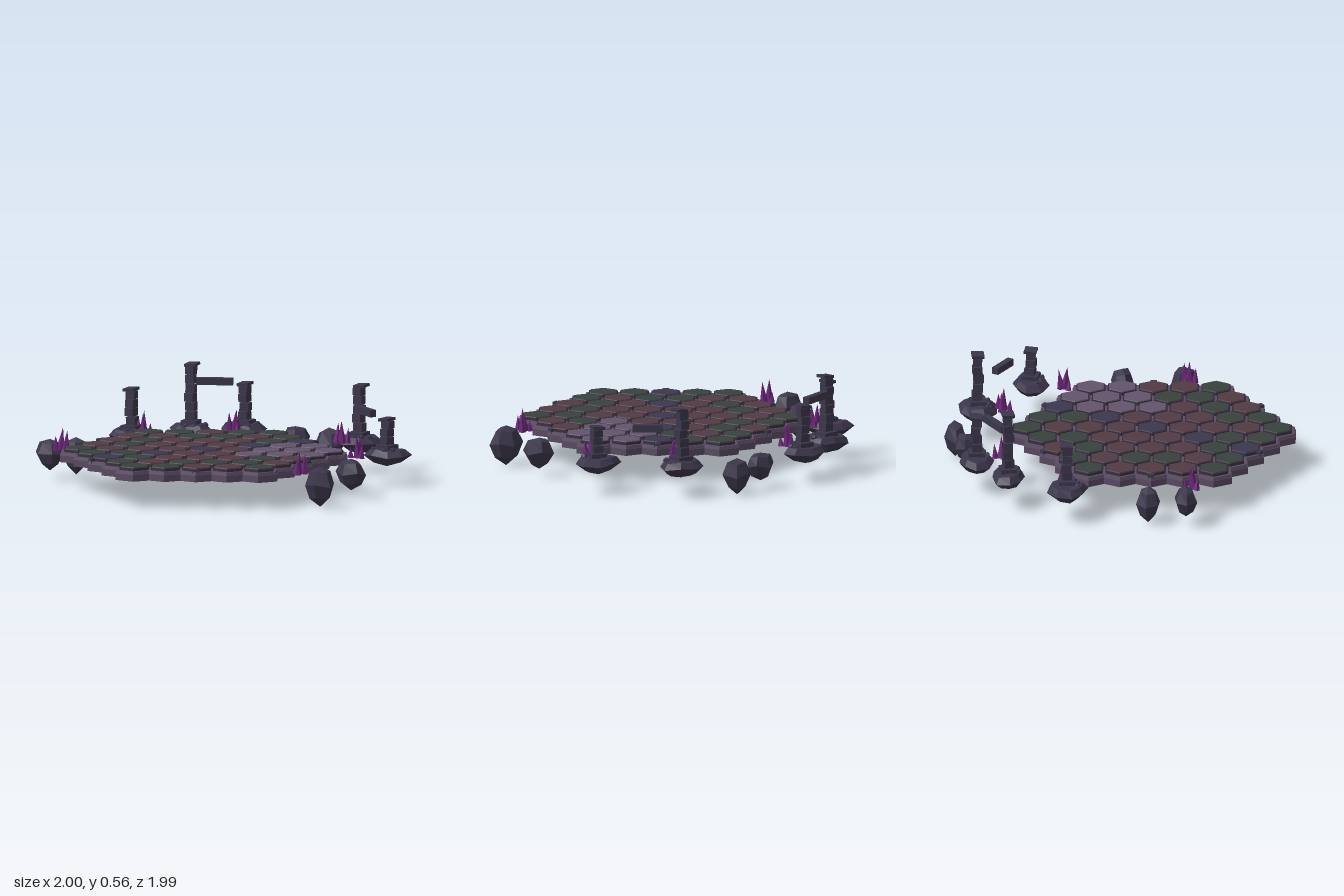
import * as THREE from 'three';

const mat = (name, color) => {
  const m = new THREE.MeshStandardMaterial({ color, flatShading: true });
  m.name = name;
  return m;
};

export function createModel() {
  const model = new THREE.Group();
  model.name = 'floatingHexArena';
  const M = {
    g: mat('mossTile', 0x39413f), r: mat('rustTile', 0x513a43),
    b: mat('slateTile', 0x3b364d), p: mat('violetTile', 0x62536c),
    rim: mat('rimStone', 0x5a4b63), dark: mat('darkJoint', 0x352c3b),
    rock: mat('rock', 0x3b364b), crystal: mat('crystal', 0x6a2476),
  };
  const add = (parent, name, geo, material, x = 0, y = 0, z = 0) => {
    const m = new THREE.Mesh(geo, material);
    m.name = name;
    m.position.set(x, y, z);
    parent.add(m);
    return m;
  };
  const group = (name, x = 0, y = 0, z = 0) => {
    const g = new THREE.Group();
    g.name = name;
    g.position.set(x, y, z);
    model.add(g);
    return g;
  };

  // Hexagonal floor: one letter per tile, columns from right (-x) to left (+x), back to front
  const R = 0.102, CZ = 0.18, pitch = R * Math.sqrt(3);
  const columns = ['grrrg', 'grggrg', 'rgrrrgb', 'ggrrrbgg', 'grrrbrrrg',
    'ggbrrrgg', 'bppprgr', 'pppggr', 'pprrg'];
  const hex = (top, bottom, h) => new THREE.CylinderGeometry(top, bottom, h, 6).rotateY(Math.PI / 6);
  const baseGeo = hex(0.12, 0.12, 0.038), lipGeo = hex(0.112, 0.117, 0.018);
  const bodyGeo = hex(0.093, 0.097, 0.034), capGeo = hex(0.084, 0.087, 0.006);
  const floor = group('floor');
  columns.forEach((col, c) => [...col].forEach((key, i) => {
    const x = (c - 4) * 1.5 * R, z = CZ + (i - (col.length - 1) / 2) * pitch;
    add(floor, 'floorBase', baseGeo, M.rim, x, 0.182, z);
    add(floor, 'floorLip', lipGeo, M.rim, x, 0.21, z);
    add(floor, 'tileBody', bodyGeo, M.dark, x, 0.217, z);
    add(floor, 'tileTop', capGeo, M[key], x, 0.236, z);
  }));

  // Six clamps around the floor edge
  for (let k = 0; k < 6; k++) {
    const a = Math.PI / 3 * k;
    add(floor, 'edgeClamp', new THREE.BoxGeometry(0.035, 0.045, 0.036), M.rock,
      Math.cos(a) * 0.7, 0.212, CZ + Math.sin(a) * 0.7).rotation.y = -a;
  }

  // Faceted rock: lathe profile of [radius, height 0..1], made irregular by angle
  const rockGeo = (profile, sides, seed, rx, rz, y0, y1) => {
    const geo = new THREE.LatheGeometry(profile.map(p => new THREE.Vector2(p[0], p[1])), sides, seed);
    const pos = geo.attributes.position;
    for (let i = 0; i < pos.count; i++) {
      const x = pos.getX(i), y = pos.getY(i), z = pos.getZ(i);
      const a = Math.atan2(x, z), r = Math.hypot(x, z);
      const k = 1 + 0.08 * Math.sin(2 * a + seed + y * 4) + 0.05 * Math.sin(5 * a + seed * 3);
      const h = y + 0.07 * r * Math.sin(3 * a + seed * 2);
      pos.setXYZ(i, x * k * rx, y0 + h * (y1 - y0), z * k * rz);
    }
    return geo;
  };

  // Small floating rocks: x, z, rx, rz, bottom, top
  const rockProfile = [[0, 0], [0.66, 0.22], [1, 0.55], [0.68, 0.88], [0, 1]];
  [
    [-0.075, -0.87, 0.088, 0.068, 0.06, 0.22], [0.11, -0.935, 0.09, 0.068, 0.01, 0.22],
    [0.88, 0, 0.09, 0.072, 0.055, 0.235], [0.905, 0.35, 0.095, 0.076, 0.01, 0.24],
    [-0.875, 0.165, 0.088, 0.068, 0.01, 0.225], [-0.91, 0.38, 0.09, 0.066, 0.06, 0.24],
  ].forEach(([x, z, rx, rz, y0, y1], i) =>
    add(model, 'floatingRock', rockGeo(rockProfile, 6, i * 1.3 + 0.4, rx, rz, y0, y1), M.rock, x, 0, z));

  // Rock islands with ruined pillars: x, z, rx, rz, pillar offset, pillar top, turn, cap offset
  const islandProfile = [[0, 0], [0.6, 0.2], [1, 0.6], [0.75, 0.92], [0, 1]];
  [
    [-0.39, -0.81, 0.14, 0.1, 0.012, 0.455, 0.1, 0], [-0.62, -0.63, 0.132, 0.1, -0.005, 0.57, 0.2, 0.008],
    [-0.82, -0.295, 0.135, 0.115, 0.015, 0.455, 0.05, -0.004], [0.405, -0.81, 0.138, 0.11, -0.008, 0.515, 0.1, 0.015],
    [0.78, -0.515, 0.135, 0.11, 0.004, 0.395, -0.15, -0.003],
  ].forEach(([x, z, rx, rz, px, top, turn, shift], n) => {
    const g = group('pillarIsland', x, 0, z);
    add(g, 'island', rockGeo(islandProfile, 8, n * 1.7 + 0.8, rx, rz, 0.115, 0.222), M.rock);
    add(g, 'plinth', new THREE.BoxGeometry(0.09, 0.035, 0.09), M.rock, px, 0.222, 0).rotation.y = turn;
    // stacked blocks, each slightly shifted and turned
    const y0 = 0.24, y1 = top - 0.018, count = Math.round((y1 - y0) / 0.052), h = (y1 - y0) / count;
    for (let i = 0; i < count; i++) {
      const w = 0.056 - 0.001 * i;
      const b = add(g, 'pillarBlock', new THREE.BoxGeometry(w, h - 0.004, w), M.rock,
        px + 0.004 * Math.sin(i * 2.3 + n), y0 + (i + 0.5) * h, 0.004 * Math.cos(i * 1.9 + n));
      b.rotation.set(0.03 * Math.sin(i + n), turn + 0.12 * Math.sin(i * 2 + n), 0.03 * Math.cos(i * 3 + n));
    }
    const cap = add(g, 'pillarCap', new THREE.BoxGeometry(0.07, 0.016, 0.07), M.rock, px + shift, top - 0.011, 0);
    cap.rotation.set(0.05, turn, 0.08);
    // loose rubble beside the plinth
    for (let i = 0; i < 4; i++) {
      const a = i * 0.6 + n * 0.3 - 0.5;
      add(g, 'rubble', new THREE.DodecahedronGeometry(0.018 - i * 0.002), M.rock,
        Math.cos(a) * 0.085, 0.215, Math.sin(a) * 0.065).rotation.set(i, n, 0);
    }
  });

  // Broken beams between pillars: centre, length, turn
  [[-0.515, 0.46, -0.705, 0.21, 0.53], [0.54, 0.385, -0.67, 0.17, -0.53]].forEach(([x, y, z, len, turn]) => {
    add(model, 'beam', new THREE.BoxGeometry(len, 0.04, 0.038), M.rock, x, y, z).rotation.y = turn;
  });

  // Crystal clusters: x, z, base height
  [
    [-0.355, -0.67, 0.19], [0.37, -0.67, 0.19], [0.715, -0.32, 0.185],
    [0.785, 0.38, 0.19], [-0.805, 0.415, 0.19], [-0.735, -0.305, 0.195],
  ].forEach(([x, z, y], n) => {
    const g = group('crystalCluster', x, y, z);
    for (let i = 0; i < 4; i++) {
      const a = i * 2.3 + n, d = i ? 0.026 + 0.005 * i : 0.006;
      const h = [0.13, 0.115, 0.085, 0.06][i];
      const c = add(g, 'crystal', new THREE.ConeGeometry(0.027 - i * 0.003, h, 5), M.crystal,
        Math.cos(a) * d, h / 2, Math.sin(a) * d);
      c.rotation.set(Math.sin(a) * 0.1, a, -Math.cos(a) * 0.1);
    }
  });

  return model;
}
